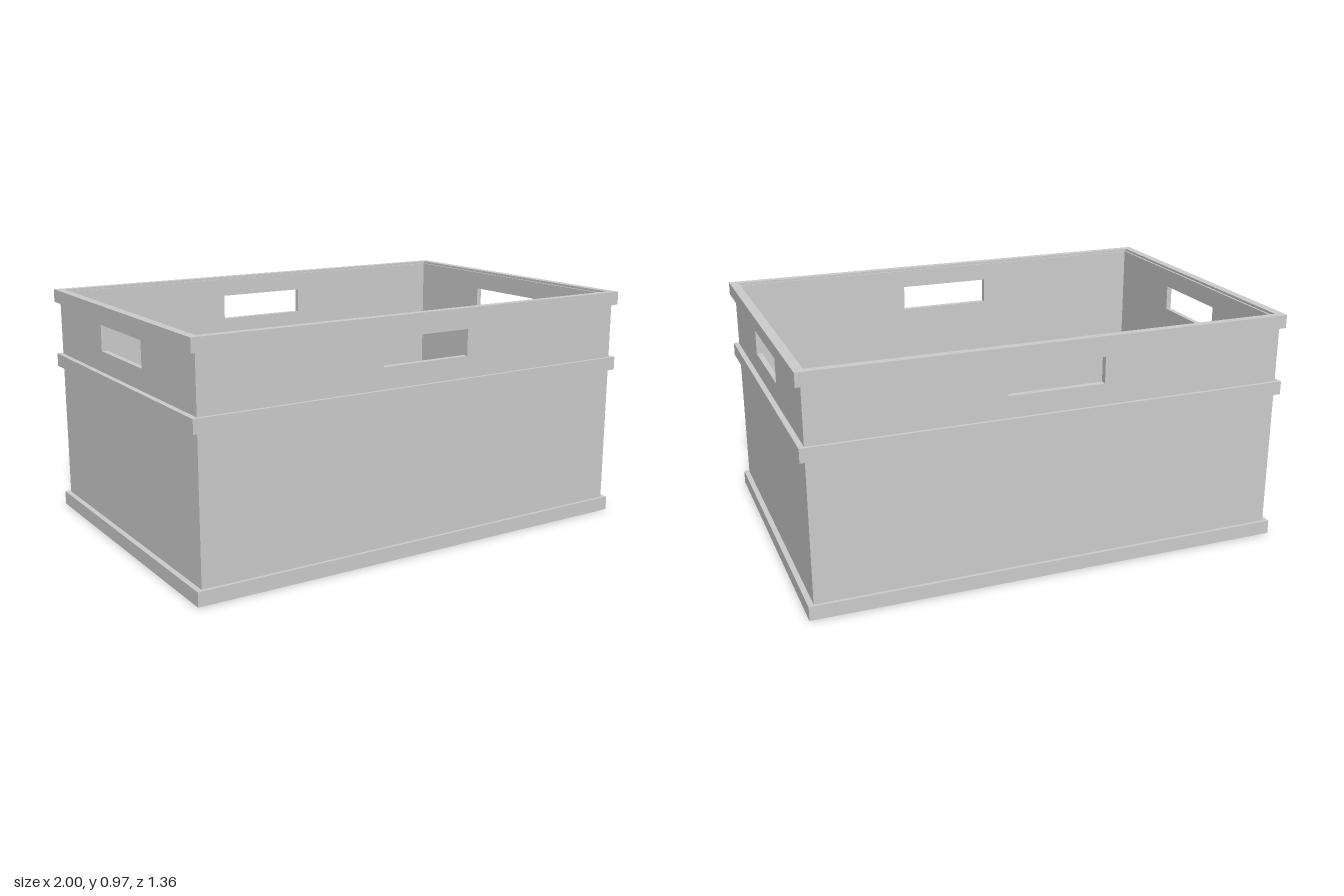
import * as THREE from 'three';

const material = new THREE.MeshStandardMaterial({ color: 0xcccccc, flatShading: true });

// Closed rectangle path given by its centre and size
function rect(path, cx, cy, w, h) {
  path.moveTo(cx - w / 2, cy - h / 2);
  path.lineTo(cx + w / 2, cy - h / 2);
  path.lineTo(cx + w / 2, cy + h / 2);
  path.lineTo(cx - w / 2, cy + h / 2);
  path.closePath();
  return path;
}

function extrude(shape, depth) {
  return new THREE.ExtrudeGeometry(shape, { depth, bevelEnabled: false });
}

function addMesh(parent, name, geometry) {
  const mesh = new THREE.Mesh(geometry, material);
  mesh.name = name;
  parent.add(mesh);
  return mesh;
}

export function createModel() {
  const crate = new THREE.Group();
  crate.name = 'crate';

  const outer = { x: 1, z: 0.679 };        // bands
  const wall = { x: 0.978, z: 0.665 };     // outer wall faces
  const inner = { x: 0.955, z: 0.639 };    // inner wall faces
  const bandInner = { x: 0.964, z: 0.646 };
  const bottom = 0.01, top = 0.962;

  // Wall panel with a handle slot; its outer face lies at the given distance
  function addWall(name, width, distance, thickness, angle) {
    const shape = rect(new THREE.Shape(), 0, (bottom + top) / 2, width, top - bottom);
    shape.holes.push(rect(new THREE.Path(), 0, 0.831, 0.4, 0.108));
    const geometry = extrude(shape, thickness);
    geometry.translate(0, 0, distance - thickness);
    geometry.rotateY(angle);
    addMesh(crate, name, geometry);
  }
  const tz = wall.z - inner.z, tx = wall.x - inner.x;
  addWall('frontWall', wall.x * 2, wall.z, tz, 0);
  addWall('backWall', wall.x * 2, wall.z, tz, Math.PI);
  addWall('leftWall', inner.z * 2, wall.x, tx, Math.PI / 2);
  addWall('rightWall', inner.z * 2, wall.x, tx, -Math.PI / 2);

  // Raised bands around the walls
  for (const [name, y0, y1] of [
    ['baseBand', 0, 0.058],
    ['middleBand', 0.634, 0.69],
    ['topRim', 0.917, 0.972],
  ]) {
    const shape = rect(new THREE.Shape(), 0, 0, outer.x * 2, outer.z * 2);
    shape.holes.push(rect(new THREE.Path(), 0, 0, bandInner.x * 2, bandInner.z * 2));
    const geometry = extrude(shape, y1 - y0);
    geometry.rotateX(-Math.PI / 2);
    addMesh(crate, name, geometry).position.y = y0;
  }

  // Floor, slightly recessed above the base edge
  const floor = addMesh(crate, 'floor', new THREE.BoxGeometry(inner.x * 2, 0.025, inner.z * 2));
  floor.position.y = bottom + 0.0125;

  return crate;
}
